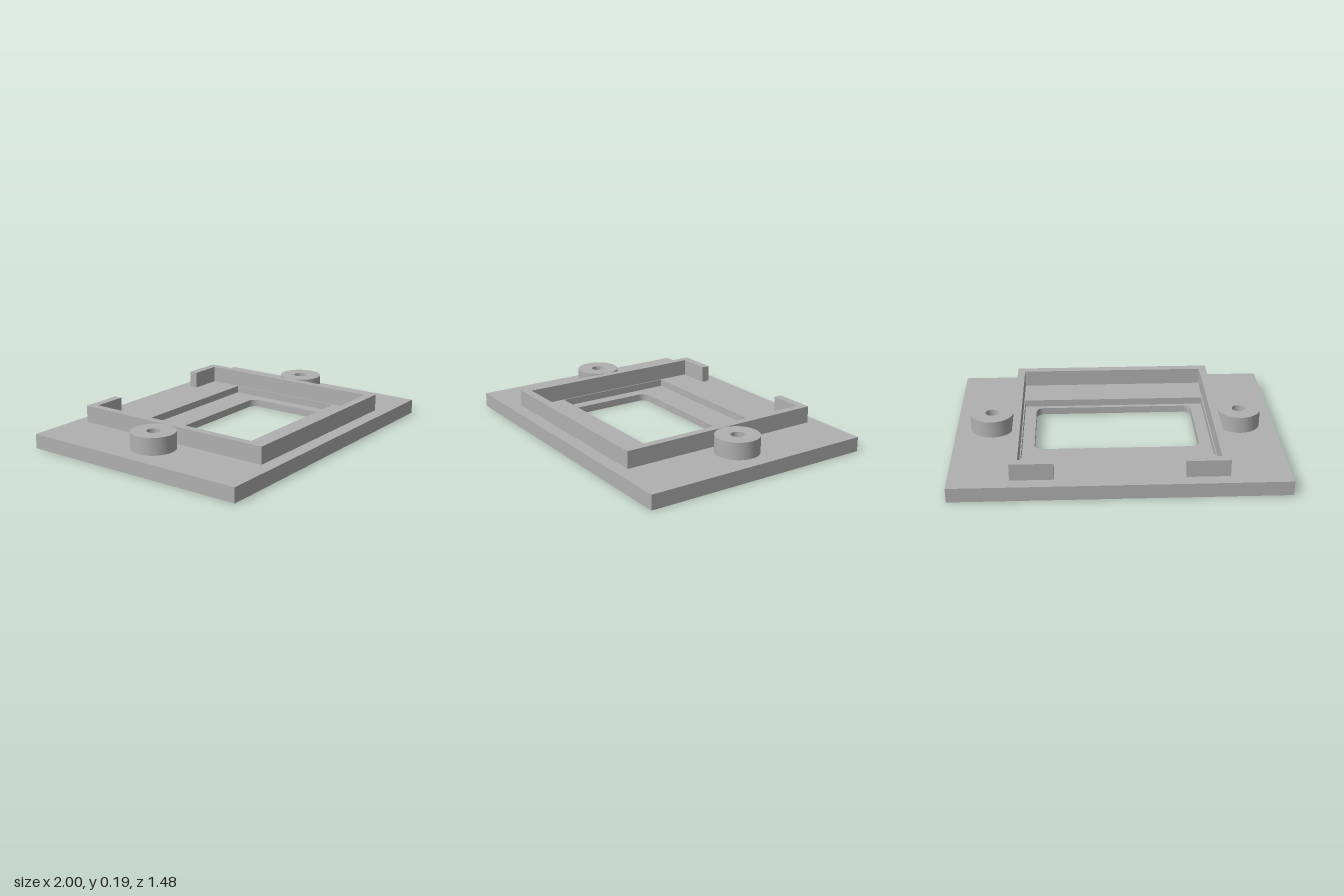
import * as THREE from 'three';
import { toCreasedNormals } from 'three/addons/utils/BufferGeometryUtils.js';

const PLATE_TOP = 0.09, TOP = 0.195, LEDGE = 0.045;

// Rectangle between two corners in plan (x, z), optionally with rounded corners
function rect(path, x0, z0, x1, z1, r = 0) {
  if (!r) {
    path.moveTo(x0, z0).lineTo(x1, z0).lineTo(x1, z1).lineTo(x0, z1).closePath();
    return path;
  }
  path.moveTo(x0 + r, z0);
  path.absarc(x1 - r, z0 + r, r, -Math.PI / 2, 0);
  path.absarc(x1 - r, z1 - r, r, 0, Math.PI / 2);
  path.absarc(x0 + r, z1 - r, r, Math.PI / 2, Math.PI);
  path.absarc(x0 + r, z0 + r, r, Math.PI, Math.PI * 1.5);
  path.closePath();
  return path;
}

// Plan outline raised from y0 to y1
function slab(shape, y0, y1) {
  const geo = new THREE.ExtrudeGeometry(shape, { depth: y1 - y0, bevelEnabled: false, curveSegments: 24 });
  geo.rotateX(Math.PI / 2).translate(0, y1, 0);
  return toCreasedNormals(geo, 0.6);
}

export function createModel() {
  const model = new THREE.Group();
  model.name = 'displayBezel';
  const grey = new THREE.MeshStandardMaterial({ color: 0xb0b0b0 });
  grey.name = 'grey';
  const add = (name, geo) => {
    const mesh = new THREE.Mesh(geo, grey);
    mesh.name = name;
    model.add(mesh);
  };

  // Base plate: rounded window below, larger square-cornered recess above
  const lower = rect(new THREE.Shape(), -1, -0.74, 1, 0.74);
  lower.holes.push(rect(new THREE.Path(), -0.51, -0.215, 0.51, 0.345, 0.05));
  add('plateWithWindow', slab(lower, 0, LEDGE));
  const upper = rect(new THREE.Shape(), -1, -0.74, 1, 0.74);
  upper.holes.push(rect(new THREE.Path(), -0.585, -0.4, 0.585, 0.373, 0));
  add('plateWithRecess', slab(upper, LEDGE, PLATE_TOP));

  // Raised frame, open in the middle of the back wall
  const outline = [
    [-0.383, -0.662], [-0.64, -0.662], [-0.64, 0.657], [0.64, 0.657], [0.64, -0.662], [0.383, -0.662],
    [0.383, -0.61], [0.592, -0.61], [0.592, 0.604], [-0.592, 0.604], [-0.592, -0.61], [-0.383, -0.61],
  ];
  const frame = new THREE.Shape(outline.map(([x, z]) => new THREE.Vector2(x, z)));
  add('raisedFrame', slab(frame, PLATE_TOP, TOP));

  // Screw bosses with blind holes
  for (const [side, name] of [[1, 'leftScrewBoss'], [-1, 'rightScrewBoss']]) {
    const ring = new THREE.Shape().absarc(side * 0.775, -0.003, 0.134, 0, Math.PI * 2);
    ring.holes.push(new THREE.Path().absarc(side * 0.775, -0.003, 0.041, 0, Math.PI * 2));
    add(name, slab(ring, PLATE_TOP, TOP));
  }
  return model;
}
